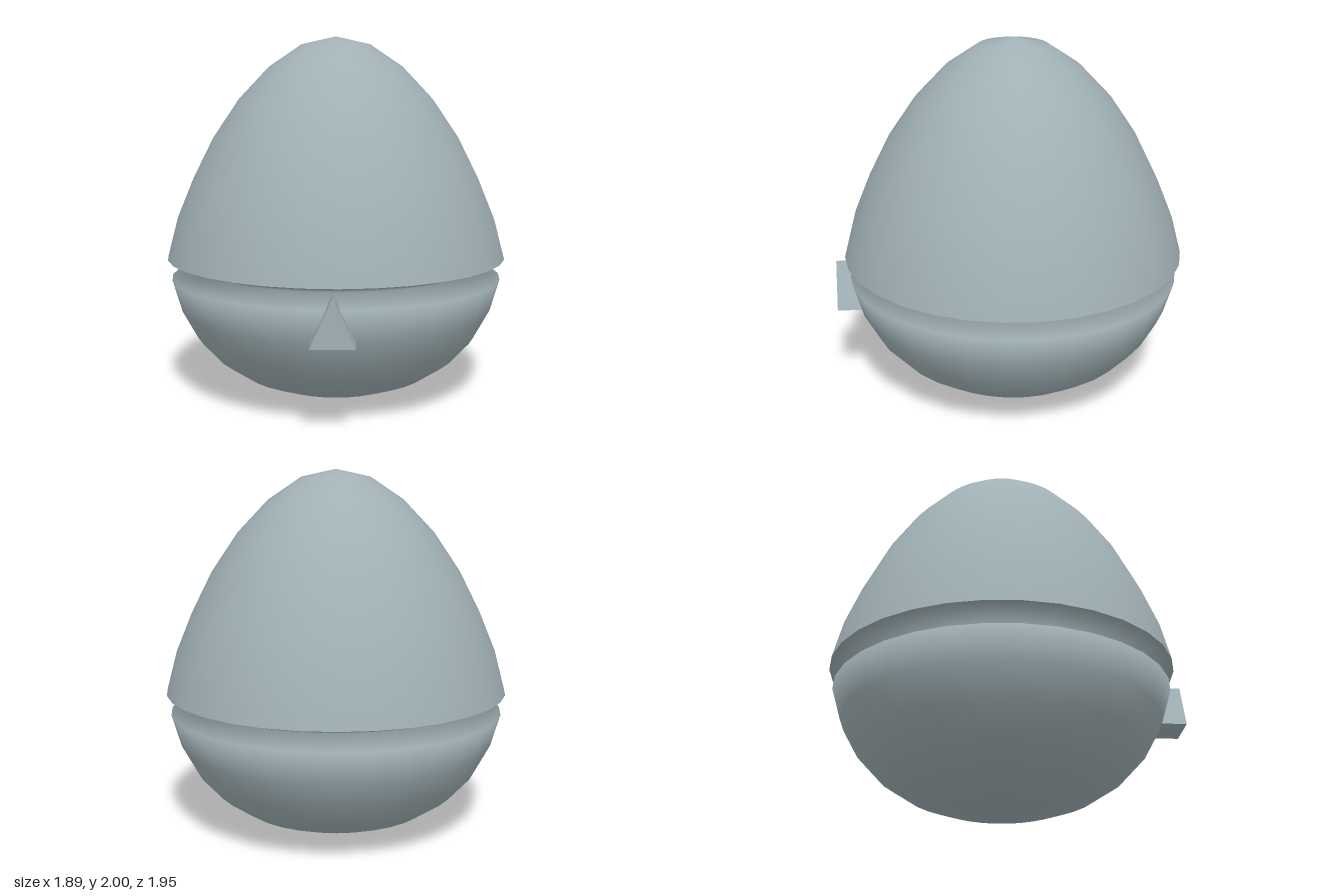
import * as THREE from 'three';

export function createModel() {
  const model = new THREE.Group();
  const shellGrey = new THREE.MeshStandardMaterial({ color: 0xa0b0b5 });

  // Each profile point is [radius, height], listed from bottom to top
  const addLathe = (name, profile) => {
    const points = profile.map(([r, y]) => new THREE.Vector2(r, y));
    const mesh = new THREE.Mesh(new THREE.LatheGeometry(points, 32), shellGrey);
    mesh.name = name;
    mesh.position.z = -0.027;
    model.add(mesh);
  };

  // Rounded base, with the groove running up to the lid's rim
  addLathe('lowerShell', [
    [0, 0], [0.18, 0.015], [0.36, 0.05], [0.52, 0.11], [0.67, 0.21],
    [0.785, 0.335], [0.87, 0.49], [0.922, 0.668], [0.775, 0.727], [0.945, 0.78],
  ]);

  // Tapered egg-shaped lid
  addLathe('upperShell', [
    [0.945, 0.78], [0.89, 0.99], [0.8, 1.21], [0.685, 1.44],
    [0.54, 1.655], [0.37, 1.835], [0.19, 1.957], [0, 2],
  ]);

  // Triangular latch on the front, slightly turned
  const triangle = new THREE.Shape([
    new THREE.Vector2(-0.115, 0.49),
    new THREE.Vector2(0.115, 0.49),
    new THREE.Vector2(0, 0.745),
  ]);
  const latchGeometry = new THREE.ExtrudeGeometry(triangle, { depth: 0.145, bevelEnabled: false });
  latchGeometry.translate(0, 0, -0.145);
  const latch = new THREE.Mesh(latchGeometry, shellGrey);
  latch.name = 'frontLatch';
  latch.position.set(-0.03, 0, 0.969);
  latch.rotation.y = -0.035;
  model.add(latch);

  return model;
}
